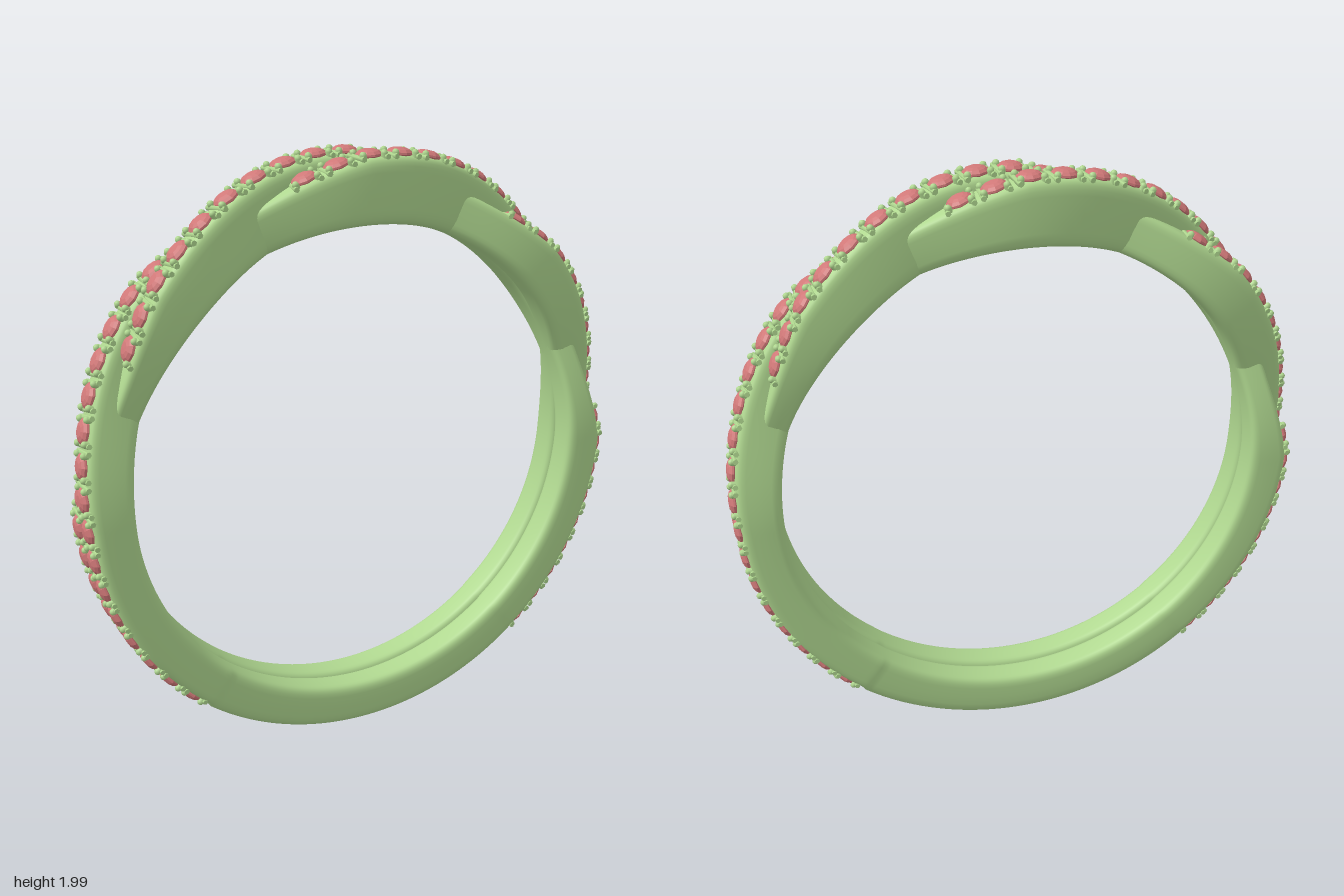
import * as THREE from 'three';
import { mergeGeometries } from 'three/addons/utils/BufferGeometryUtils.js';

const CENTER_Y = 0.965, INNER = 0.805, HALF_W = 0.057, OFFSET = 0.054;
const WAVE = 46.5;          // degrees between successive crossings
const TWIST_END = 93;       // beyond this the strands run parallel
const STONE_END = 141;      // beyond this the shank is plain
const STEP = 6.25;          // degrees between stones
const rad = THREE.MathUtils.degToRad;
const smooth = THREE.MathUtils.smoothstep;
const spow = (v, e) => Math.sign(v) * Math.pow(Math.abs(v), e);

// Angles are degrees from the top; side is +1 or -1 for the two strands
const strandZ = (t, side) =>
  side * OFFSET * Math.cos(Math.PI * Math.min(Math.abs(t), TWIST_END) / WAVE);

// Positive where the strand passes over the other one, negative where it dives under
const over = (t, side) =>
  Math.abs(t) >= TWIST_END ? 0 : side * Math.sin(Math.PI * t / WAVE);

function outerRadius(t, side) {
  const a = Math.abs(t), s = over(t, side);
  return THREE.MathUtils.lerp(1.015, 0.943, smooth(a, 0, 80))
    + (s > 0 ? 0.016 : 0.05) * s
    + 0.012 * smooth(a, STONE_END - 0.5, STONE_END + 1);
}

const ringPoint = (t, r, z) =>
  new THREE.Vector3(Math.sin(rad(t)) * r, CENTER_Y + Math.cos(rad(t)) * r, z);

// One strand: a rounded cross-section swept around the finger hole
function strandGeometry(side) {
  const N = 360, M = 28, pos = [], idx = [];
  for (let i = 0; i < N; i++) {
    const t = -180 + i * 360 / N;
    const R = outerRadius(t, side), zc = strandZ(t, side);
    const mid = (R + INNER) / 2, h = (R - INNER) / 2;
    const plain = smooth(Math.abs(t), STONE_END - 0.5, STONE_END + 1);
    for (let j = 0; j < M; j++) {
      const p = j / M * Math.PI * 2, c = Math.cos(p), s = Math.sin(p);
      const e = s > 0 ? 0.4 + 0.2 * plain : 0.45;
      const w = HALF_W - 0.003 * plain;
      pos.push(...ringPoint(t, mid + h * spow(s, e), zc + w * spow(c, e)).toArray());
    }
  }
  for (let i = 0; i < N; i++) for (let j = 0; j < M; j++) {
    const a = i * M + j, b = i * M + (j + 1) % M;
    const c = ((i + 1) % N) * M + j, d = ((i + 1) % N) * M + (j + 1) % M;
    idx.push(a, c, b, b, c, d);
  }
  const g = new THREE.BufferGeometry();
  g.setAttribute('position', new THREE.Float32BufferAttribute(pos, 3));
  g.setIndex(idx);
  g.computeVertexNormals();
  return g;
}

// Frame on the strand's outer face: x along, y outward, z across
function surfaceFrame(t, side) {
  const at = u => ringPoint(u, outerRadius(u, side), strandZ(u, side));
  const T = at(t + 0.5).sub(at(t - 0.5)).normalize();
  const N = new THREE.Vector3(0, 0, 1).cross(T).normalize();
  const B = T.clone().cross(N);
  return new THREE.Matrix4().makeBasis(T, N, B).setPosition(at(t));
}

// Stones are left out where the strand is hidden below the other
function hasStone(t, side) {
  const a = Math.abs(t);
  const hidden = (a > 15.5 && a < 34) || (a > 61 && a < 84);
  return !(hidden && over(t, side) < 0);
}

// Faceted round stone
function stoneGeometry() {
  const profile = [[0, -0.03], [0.043, 0.001], [0.042, 0.007], [0.033, 0.015], [0.02, 0.02], [0, 0.021]];
  return new THREE.LatheGeometry(profile.map(p => new THREE.Vector2(...p)), 10);
}

// Four corner prongs and two cross bars that hold a stone
function settingGeometry() {
  const parts = [];
  for (const sx of [-1, 1]) {
    const bar = new THREE.CylinderGeometry(0.009, 0.009, 0.104, 6);
    parts.push(bar.rotateX(Math.PI / 2).translate(sx * 0.042, -0.002, 0));
    for (const sz of [-1, 1]) {
      const prong = new THREE.CapsuleGeometry(0.0115, 0.022, 3, 7);
      parts.push(prong.translate(sx * 0.037, -0.003, sz * 0.033));
    }
  }
  return mergeGeometries(parts);
}

export function createModel() {
  const ring = new THREE.Group();
  ring.name = 'ring';
  const metal = new THREE.MeshStandardMaterial({ color: 0xb0d890 });
  const gem = new THREE.MeshStandardMaterial({ color: 0xd07878, flatShading: true });
  const stone = stoneGeometry(), setting = settingGeometry();

  for (const [side, label] of [[1, 'front'], [-1, 'back']]) {
    const stones = [], settings = [];
    for (let n = -22; n <= 22; n++) {
      const t = n * STEP + side * 0.8;
      if (!hasStone(t, side)) continue;
      const m = surfaceFrame(t, side);
      stones.push(stone.clone().applyMatrix4(m));
      settings.push(setting.clone().applyMatrix4(m));
    }
    const add = (name, geometry, material) => {
      const mesh = new THREE.Mesh(geometry, material);
      mesh.name = label + name;
      ring.add(mesh);
    };
    add('Strand', strandGeometry(side), metal);
    add('Stones', mergeGeometries(stones), gem);
    add('Prongs', mergeGeometries(settings), metal);
  }
  return ring;
}
